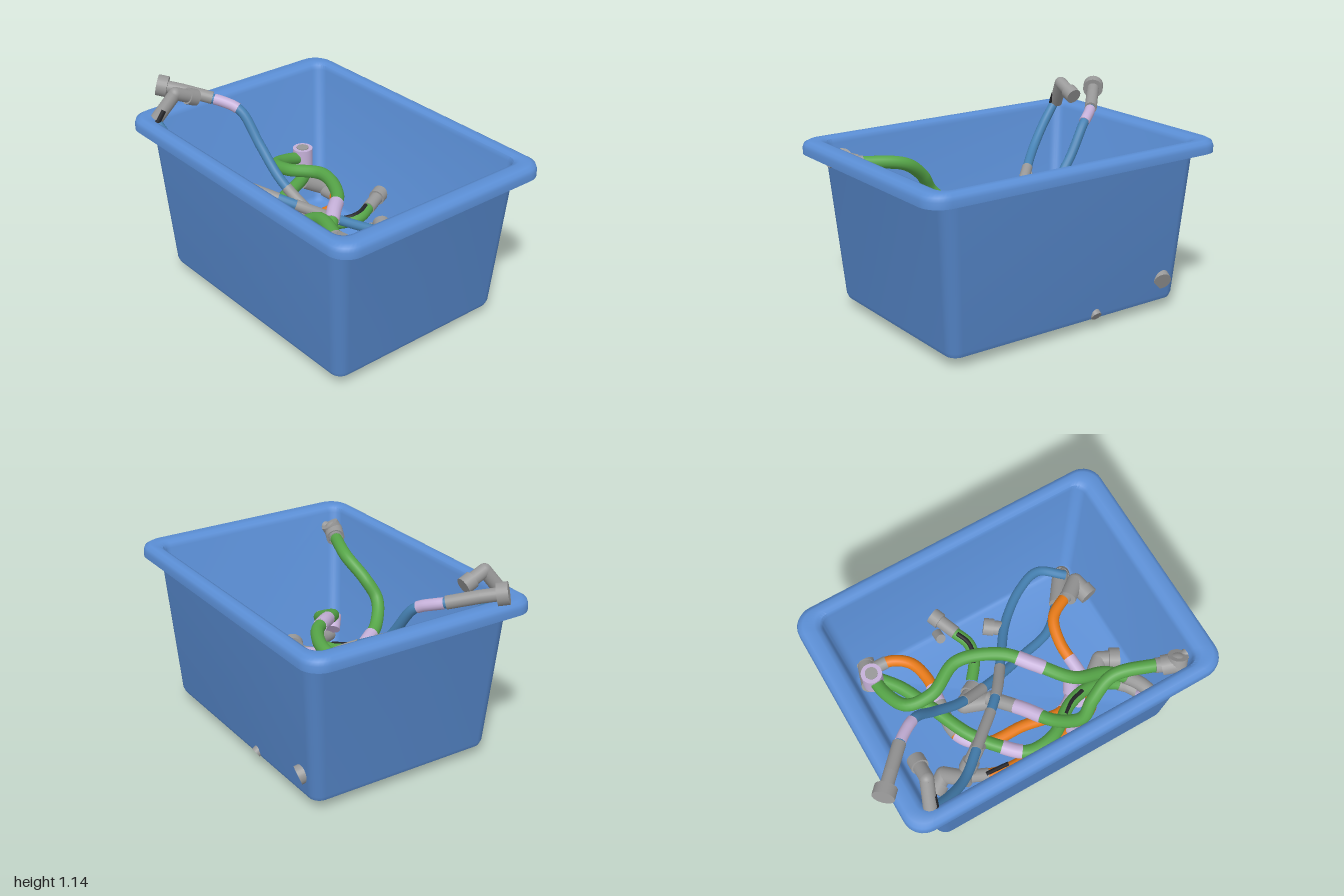
import * as THREE from 'three';
import { toCreasedNormals } from 'three/addons/utils/BufferGeometryUtils.js';

const paint = (name, color) => {
  const m = new THREE.MeshStandardMaterial({ color });
  m.name = name;
  return m;
};

// Rounded rectangle of points at height y
function ring([hw, hl, r, y], n = 8) {
  const pts = [];
  [[1, 1], [-1, 1], [-1, -1], [1, -1]].forEach(([sx, sz], q) => {
    for (let i = 0; i <= n; i++) {
      const a = (q + i / n) * Math.PI / 2;
      pts.push(sx * (hw - r) + r * Math.cos(a), y, sz * (hl - r) + r * Math.sin(a));
    }
  });
  return pts;
}

// Skin through a stack of rounded rectangles
function skin(rows) {
  const pos = rows.flatMap(r => ring(r)), n = 36, idx = [];
  for (let j = 0; j < rows.length - 1; j++) for (let i = 0; i < n; i++) {
    const a = j * n + i, b = j * n + (i + 1) % n;
    idx.push(a, a + n, b, b, a + n, b + n);
  }
  const g = new THREE.BufferGeometry();
  g.setAttribute('position', new THREE.Float32BufferAttribute(pos, 3));
  g.setIndex(idx);
  return toCreasedNormals(g, 0.8);
}

export function createModel() {
  const model = new THREE.Group();
  const binBlue = paint('binBlue', 0x5b8fd6), hoseBlue = paint('hoseBlue', 0x4682b4);
  const green = paint('green', 0x56a548), orange = paint('orange', 0xf58218);
  const lilac = paint('lilac', 0xc5b0d8), grey = paint('grey', 0x989898);
  const black = paint('black', 0x242428);
  const V = p => new THREE.Vector3(...p);

  const add = (name, geo, mat, parent = model) => {
    const m = new THREE.Mesh(geo, mat);
    m.name = name;
    parent.add(m);
    return m;
  };

  // Straight round piece between two points
  function rod(name, mat, a, b, r, parent = model) {
    const p = V(a), q = V(b), d = q.clone().sub(p);
    const m = add(name, new THREE.CylinderGeometry(r, r, d.length(), 24), mat, parent);
    m.position.copy(p).add(q).multiplyScalar(0.5);
    m.quaternion.setFromUnitVectors(new THREE.Vector3(0, 1, 0), d.normalize());
  }

  // Fitting: a chain of rods with round elbows and a wider end collar
  function fitting(name, pts, r = 0.042, collar = 0.055) {
    const g = new THREE.Group();
    g.name = name;
    model.add(g);
    for (let i = 0; i < pts.length - 1; i++) {
      rod('pipe', grey, pts[i], pts[i + 1], r, g);
      if (i) add('elbow', new THREE.SphereGeometry(r, 20, 12), grey, g).position.set(...pts[i]);
    }
    const e = V(pts.at(-1)), back = V(pts.at(-2)).sub(e).setLength(0.06).add(e);
    rod('collar', grey, back.toArray(), e.toArray(), collar, g);
  }

  // Hose with sleeves given as [start, end, material] along its length
  function hose(name, mat, r, pts, sleeves = []) {
    const g = new THREE.Group();
    g.name = name;
    model.add(g);
    const curve = new THREE.CatmullRomCurve3(pts.map(V));
    add('tube', new THREE.TubeGeometry(curve, 80, r, 14), mat, g);
    for (const [a, b, m] of sleeves) {
      const part = [0, 1, 2, 3, 4].map(i => curve.getPointAt(a + (b - a) * i / 4));
      const c = new THREE.CatmullRomCurve3(part);
      add('sleeve', new THREE.TubeGeometry(c, 12, r * 1.12, 16), m, g);
      // Flat discs close the sleeve
      for (const t of [0, 1]) {
        const cap = add('sleeveEnd', new THREE.CircleGeometry(r * 1.12, 16), m, g);
        cap.position.copy(c.getPoint(t));
        cap.quaternion.setFromUnitVectors(new THREE.Vector3(0, 0, 1),
          c.getTangent(t).multiplyScalar(t ? 1 : -1));
      }
    }
  }

  // Bin: floor, tapered walls, rolled rim, inner walls, inner floor
  const bin = add('bin', skin([
    [0, 0, 0, 0.055], [0.52, 0.715, 0.05, 0.055], [0.548, 0.745, 0.06, 0.063],
    [0.56, 0.757, 0.07, 0.09], [0.622, 0.82, 0.08, 0.9], [0.63, 0.832, 0.085, 0.925],
    [0.65, 0.87, 0.09, 0.932], [0.668, 0.91, 0.1, 0.922],
    [0.676, 0.926, 0.1, 0.905], [0.69, 0.937, 0.115, 0.905], [0.69, 0.937, 0.115, 0.94],
    [0.683, 0.93, 0.11, 0.962], [0.66, 0.91, 0.1, 0.975], [0.625, 0.85, 0.08, 0.975],
    [0.605, 0.825, 0.07, 0.965], [0.597, 0.81, 0.06, 0.94], [0.545, 0.745, 0.06, 0.11],
    [0.53, 0.73, 0.05, 0.088], [0.505, 0.705, 0.04, 0.08], [0, 0, 0, 0.08],
  ]), binBlue);
  bin.position.z = 0.035;
  bin.rotation.y = -0.047;

  // Thin blue hoses that climb over the back of the bin
  hose('tallHose', hoseBlue, 0.028, [[-0.22, 1.005, -0.77], [-0.16, 0.985, -0.7], [-0.1, 0.94, -0.6],
    [-0.07, 0.76, -0.47], [-0.05, 0.58, -0.3], [0.03, 0.37, 0.0], [0.1, 0.25, 0.22], [0.17, 0.18, 0.44],
    [0.34, 0.15, 0.62]], [[0.03, 0.11, lilac], [0.4, 0.5, grey]]);
  fitting('tallHoseFitting', [[-0.19, 1.0, -0.74], [-0.31, 1.045, -0.86], [-0.41, 1.075, -0.96]], 0.036, 0.06);
  hose('diagonalHose', hoseBlue, 0.028, [[-0.56, 0.96, -0.77], [-0.53, 0.85, -0.66], [-0.46, 0.73, -0.52],
    [-0.3, 0.64, -0.33], [-0.1, 0.53, -0.1], [0.1, 0.42, 0.06], [0.3, 0.33, 0.22], [0.45, 0.28, 0.42],
    [0.5, 0.25, 0.58], [0.41, 0.2, 0.72]], [[0.26, 0.39, grey], [0.44, 0.55, grey]]);
  fitting('diagonalHoseFitting', [[-0.55, 0.97, -0.78], [-0.45, 1.11, -0.73], [-0.32, 1.05, -0.72]], 0.037, 0.047);
  rod('diagonalHoseMark', black, [-0.565, 0.96, -0.755], [-0.525, 1.03, -0.74], 0.016);

  // Thick green hoses
  hose('cornerHose', green, 0.037, [[-0.57, 0.83, 0.76], [-0.5, 0.835, 0.62], [-0.43, 0.81, 0.43],
    [-0.46, 0.71, 0.29], [-0.49, 0.6, 0.21], [-0.4, 0.5, 0.1], [-0.23, 0.46, -0.01], [-0.06, 0.42, -0.13]],
  [[0, 0.1, grey], [0.74, 0.87, lilac], [0.87, 1, grey]]);
  hose('wavyHose', green, 0.037, [[0.4, 0.46, -0.62], [0.24, 0.5, -0.61], [0.11, 0.54, -0.55],
    [0.08, 0.575, -0.4], [0.16, 0.6, -0.2], [0.06, 0.605, 0.04], [-0.08, 0.59, 0.16], [-0.25, 0.52, 0.32],
    [-0.3, 0.42, 0.52], [-0.42, 0.33, 0.66], [-0.54, 0.26, 0.72]], [[0.53, 0.61, lilac], [0.88, 1, grey]]);
  hose('curvedHose', green, 0.037, [[0.4, 0.38, -0.6], [0.27, 0.39, -0.51], [0.08, 0.39, -0.43],
    [-0.17, 0.38, -0.33], [-0.32, 0.36, -0.22], [-0.43, 0.35, -0.1], [-0.43, 0.34, 0.07],
    [-0.31, 0.3, 0.27], [-0.28, 0.25, 0.45], [-0.36, 0.2, 0.62], [-0.5, 0.18, 0.7]],
  [[0.43, 0.49, lilac], [0.9, 1, grey]]);
  hose('curvedHoseMark', black, 0.012, [[-0.36, 0.345, 0.2], [-0.31, 0.328, 0.28], [-0.285, 0.305, 0.37]]);
  hose('shortHose', green, 0.034, [[0.1, 0.32, -0.14], [0.2, 0.32, -0.06], [0.3, 0.33, -0.03], [0.42, 0.34, -0.07]]);
  hose('shortHoseMark', black, 0.013, [[0.18, 0.345, -0.075], [0.25, 0.353, -0.04], [0.31, 0.36, -0.035], [0.38, 0.365, -0.06]]);
  fitting('shortHoseFitting', [[0.4, 0.34, -0.06], [0.56, 0.36, -0.12]], 0.038, 0.048);

  // Orange hoses lying lower in the bin
  hose('lowHose', orange, 0.034, [[-0.36, 0.28, -0.44], [-0.42, 0.24, -0.28], [-0.43, 0.2, -0.05],
    [-0.42, 0.18, 0.2], [-0.36, 0.2, 0.39], [-0.2, 0.24, 0.43], [0.04, 0.29, 0.43], [0.18, 0.31, 0.48],
    [0.25, 0.3, 0.6], [0.29, 0.26, 0.72]], [[0, 0.06, grey], [0.58, 0.69, lilac], [0.92, 1, grey]]);
  hose('sideHose', orange, 0.034, [[0.52, 0.2, -0.57], [0.5, 0.21, -0.45], [0.42, 0.22, -0.36],
    [0.29, 0.23, -0.33], [0.12, 0.24, -0.35], [-0.1, 0.24, -0.37], [-0.23, 0.24, -0.26], [-0.26, 0.23, -0.02],
    [-0.3, 0.2, 0.22], [-0.24, 0.17, 0.34]],
  [[0, 0.06, grey], [0.28, 0.35, lilac], [0.35, 0.49, grey], [0.49, 0.6, lilac], [0.92, 1, lilac]]);
  rod('lowHoseMark', black, [-0.4, 0.29, -0.36], [-0.41, 0.265, -0.22], 0.012);

  // Grey end fittings
  fitting('cornerFitting', [[-0.53, 0.83, 0.68], [-0.565, 0.85, 0.75], [-0.545, 0.89, 0.765]], 0.055, 0.055);
  fitting('rightWallFitting', [[0.41, 0.28, -0.64], [0.5, 0.23, -0.61], [0.612, 0.182, -0.568]], 0.048, 0.052);
  fitting('backElbow', [[-0.36, 0.24, -0.45], [-0.24, 0.16, -0.55], [-0.3, 0.14, -0.65]], 0.048, 0.06);
  fitting('leftElbow', [[-0.32, 0.63, -0.35], [-0.37, 0.5, -0.46]], 0.04, 0.05);
  fitting('centreElbow', [[-0.07, 0.38, -0.12], [0.0, 0.34, -0.25], [0.06, 0.3, -0.14]], 0.052, 0.064);
  fitting('floorElbow', [[-0.25, 0.2, 0.45], [-0.15, 0.2, 0.59], [-0.21, 0.2, 0.69]], 0.047, 0.065);
  fitting('frontElbow', [[0.24, 0.3, 0.62], [0.32, 0.26, 0.73], [0.2, 0.25, 0.75]], 0.05, 0.058);
  fitting('frontRightFitting', [[0.28, 0.18, 0.58], [0.44, 0.13, 0.71], [0.475, 0.065, 0.745]], 0.05, 0.052);
  fitting('smallFitting', [[0.28, 0.32, 0.19], [0.35, 0.33, 0.1]], 0.042, 0.05);
  fitting('wallPeg', [[0.48, 0.15, -0.12], [0.575, 0.08, -0.11]], 0.03, 0.03);
  rod('frontPeg', grey, [-0.56, 0.84, 0.77], [-0.55, 0.865, 0.835], 0.03);

  // Lilac end pieces
  rod('floorPlug', lilac, [-0.29, 0.157, 0.36], [-0.17, 0.037, 0.36], 0.046);
  rod('leftPlug', lilac, [-0.42, 0.22, 0.21], [-0.545, 0.26, 0.2], 0.038);
  rod('lowPlug', lilac, [-0.22, 0.2, 0.34], [-0.18, 0.3, 0.36], 0.045);
  rod('frontLeftPlug', lilac, [-0.48, 0.24, 0.64], [-0.535, 0.3, 0.7], 0.045);
  rod('ringPlug', lilac, [0.38, 0.38, -0.62], [0.38, 0.53, -0.62], 0.06);
  rod('ringHole', grey, [0.38, 0.52, -0.62], [0.38, 0.535, -0.62], 0.036);

  return model;
}
